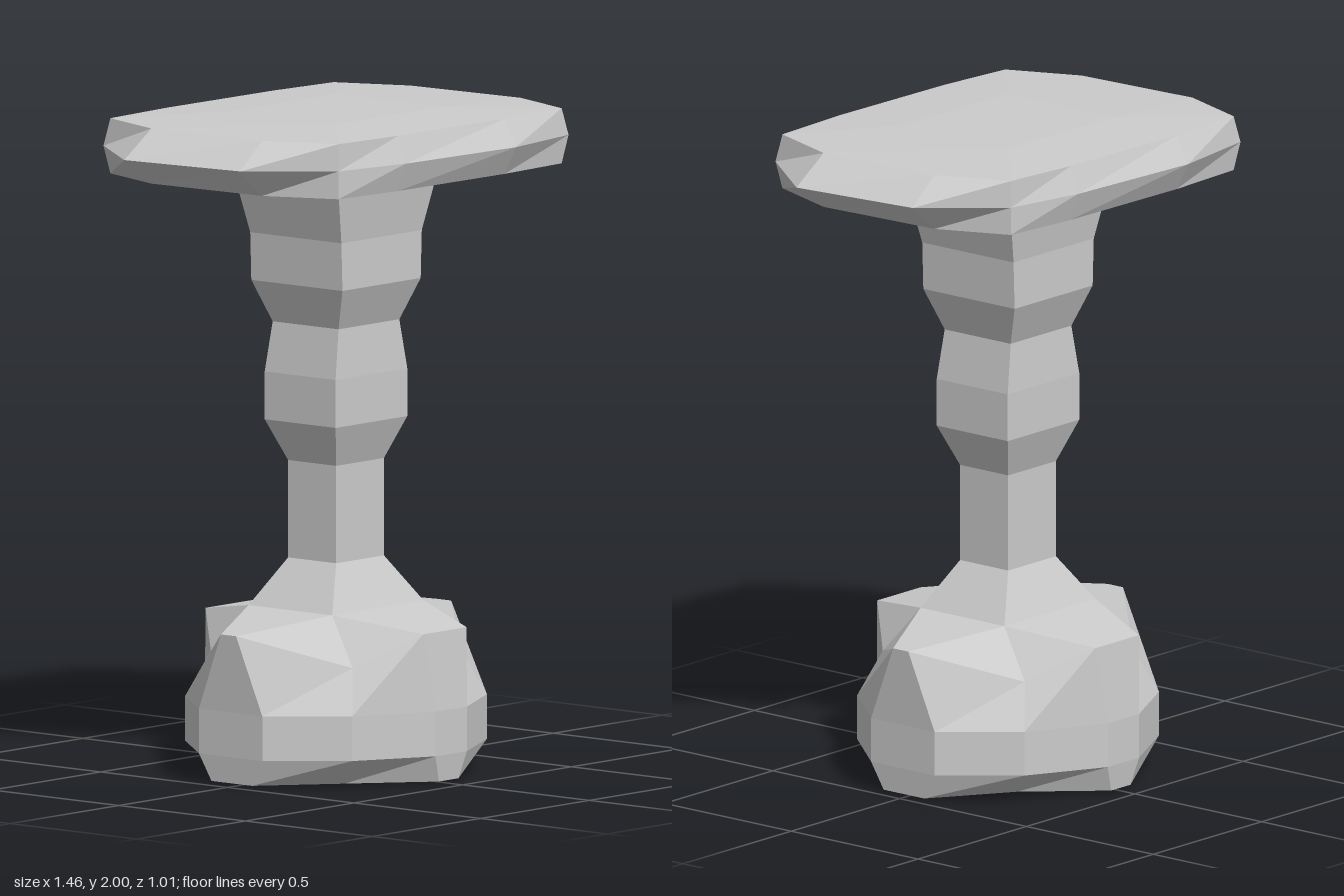
import * as THREE from 'three';

// Half a ring [x, y, z], running front -> right -> back, completed by a half turn.
const ring = (half) => [...half, ...half.map(([x, y, z]) => [-x, y, -z])];

// Ring with one y level from [x, z] pairs.
const level = (y, pairs) => ring(pairs.map(([x, z]) => [x, y, z]));

// Rectangular ring; with n = 3 each corner is repeated to match 12-point rings.
const square = (y, x, z, n = 1) =>
  level(y, [...Array(n).fill([x, z]), ...Array(n).fill([x, -z])]);

// Faceted skin through rings listed from bottom to top, with optional flat caps.
function loft(name, rings, capBottom, capTop) {
  const pos = [];
  const same = (p, q) => p.every((v, i) => v === q[i]);
  const tri = (a, b, c) => {
    if (!same(a, b) && !same(b, c) && !same(a, c)) pos.push(...a, ...b, ...c);
  };
  for (let k = 0; k < rings.length - 1; k++) {
    const lo = rings[k], hi = rings[k + 1], n = lo.length;
    for (let i = 0; i < n; i++) {
      const j = (i + 1) % n;
      tri(lo[i], lo[j], hi[j]);
      tri(lo[i], hi[j], hi[i]);
    }
  }
  const cap = (r, up) => r.forEach((p, i) => {
    const q = r[(i + 1) % r.length];
    const c = [0, up ? r[0][1] : 0, 0];
    if (up) tri(c, p, q); else tri(c, q, p);
  });
  if (capBottom) cap(rings[0], false);
  if (capTop) cap(rings[rings.length - 1], true);
  const geo = new THREE.BufferGeometry();
  geo.setAttribute('position', new THREE.Float32BufferAttribute(pos, 3));
  geo.computeVertexNormals();
  const mesh = new THREE.Mesh(geo, new THREE.MeshStandardMaterial({
    color: 0xcccccc, flatShading: true, side: THREE.DoubleSide,
  }));
  mesh.name = name;
  return mesh;
}

export function createModel() {
  const group = new THREE.Group();
  group.name = 'pedestalTable';

  // Four-lobed foot: narrow panels on each side, recessed diagonals
  const foot = (y, yd, fx, fz, dx, dz, sx, sz) => ring([
    [fx, y, fz], [dx, yd, dz], [sx, y, sz], [sx, y, -sz], [dx, yd, -dz], [fx, y, -fz],
  ]);
  group.add(loft('base', [
    foot(0.01, 0, 0.045, 0.445, 0.21, 0.215, 0.48, 0.08),
    foot(0.09, 0.09, 0.072, 0.455, 0.31, 0.33, 0.485, 0.125),
    foot(0.225, 0.225, 0.072, 0.455, 0.31, 0.33, 0.485, 0.125),
    foot(0.46, 0.36, 0.10, 0.43, 0.25, 0.28, 0.495, 0.03),
    square(0.505, 0.21, 0.165, 3),
  ], true, false));

  // Square turned column: [y, half width, half depth]
  group.add(loft('column', [
    [0.505, 0.21, 0.165], [0.645, 0.11, 0.095], [0.94, 0.11, 0.095],
    [1.065, 0.165, 0.14], [1.21, 0.165, 0.14], [1.36, 0.14, 0.13],
    [1.485, 0.18, 0.18], [1.63, 0.185, 0.18], [1.77, 0.22, 0.2],
  ].map((p) => square(...p))));

  // Tabletop with an uneven bevelled rim
  const face = [[0.24, 0.46], [0.52, 0.445], [0.605, 0.21],
    [0.585, -0.21], [0.49, -0.43], [0.24, -0.452]];
  const rim = [[0.24, 0.505], [0.54, 0.455], [0.73, 0.21],
    [0.685, -0.21], [0.492, -0.432], [0.24, -0.48]];
  group.add(loft('tabletop', [
    square(1.77, 0.22, 0.2, 3),
    level(1.82, face),
    level(1.905, rim),
    level(1.987, face),
    square(2, 0.24, 0.21, 3),
  ], false, true));

  return group;
}
